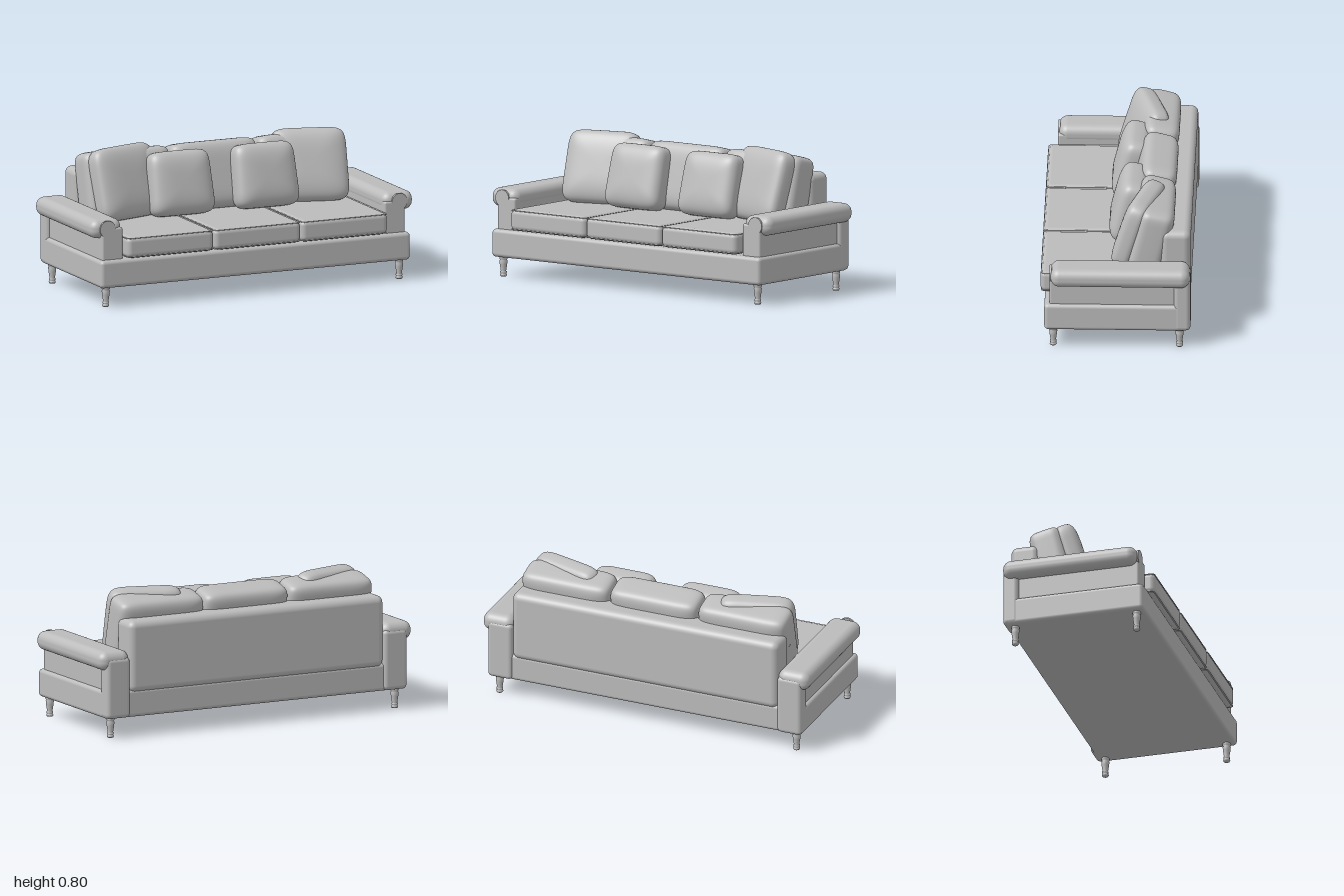
import * as THREE from 'three';
import { mergeVertices } from 'three/addons/utils/BufferGeometryUtils.js';
import { RoundedBoxGeometry } from 'three/addons/geometries/RoundedBoxGeometry.js';

const fabric = new THREE.MeshStandardMaterial({ color: 0xbcbcbc });
fabric.name = 'grey fabric';

function add(group, name, geometry, x = 0, y = 0, z = 0) {
  const mesh = new THREE.Mesh(geometry, fabric);
  mesh.name = name;
  mesh.position.set(x, y, z);
  group.add(mesh);
  return mesh;
}

// Rounded box given by its limits on each axis
function block(group, name, [x0, x1], [y0, y1], [z0, z1], radius) {
  const g = new RoundedBoxGeometry(x1 - x0, y1 - y0, z1 - z0, 5, radius);
  return add(group, name, g, (x0 + x1) / 2, (y0 + y1) / 2, (z0 + z1) / 2);
}

// Soft pillow: a sphere squared off in outline (eo) and in profile (ep)
function pillowGeometry(a, b, c, eo, ep, taper) {
  const pow = (v, e) => Math.sign(v) * Math.abs(v) ** e;
  let g = new THREE.SphereGeometry(1, 64, 32);
  g.rotateX(Math.PI / 2);
  g.deleteAttribute('uv');
  g.deleteAttribute('normal');
  const p = g.attributes.position;
  for (let i = 0; i < p.count; i++) {
    const r = Math.hypot(p.getX(i), p.getY(i));
    const angle = Math.atan2(p.getY(i), p.getX(i));
    const rim = r < 1e-6 ? 0 : r ** ep;
    const u = rim * pow(Math.cos(angle), eo);
    const v = rim * pow(Math.sin(angle), eo);
    p.setXYZ(i, a * u * (1 - taper * v), b * v, c * pow(p.getZ(i), ep));
  }
  g = mergeVertices(g, 1e-5);
  g.computeVertexNormals();
  return g;
}

// Thin rounded plate used as the piping of a seat cushion
function pipingGeometry(w, d) {
  const r = 0.025, x = w / 2, y = d / 2;
  const s = new THREE.Shape();
  s.moveTo(-x + r, -y);
  s.lineTo(x - r, -y).quadraticCurveTo(x, -y, x, -y + r);
  s.lineTo(x, y - r).quadraticCurveTo(x, y, x - r, y);
  s.lineTo(-x + r, y).quadraticCurveTo(-x, y, -x, y - r);
  s.lineTo(-x, -y + r).quadraticCurveTo(-x, -y, -x + r, -y);
  return new THREE.ExtrudeGeometry(s, { depth: 0.005, bevelEnabled: false }).rotateX(-Math.PI / 2);
}

export function createModel() {
  const sofa = new THREE.Group();
  sofa.name = 'sofa';

  // Base and back
  block(sofa, 'base', [-0.96, 0.96], [0.112, 0.27], [-0.408, 0.4], 0.022);
  block(sofa, 'backrest', [-0.815, 0.815], [0.25, 0.66], [-0.42, -0.25], 0.04);

  // Turned legs
  const legProfile = [
    [0, 0], [0.016, 0], [0.02, 0.006], [0.018, 0.014], [0.015, 0.017], [0.019, 0.021],
    [0.019, 0.027], [0.015, 0.03], [0.021, 0.068], [0.023, 0.09], [0.018, 0.095],
    [0.023, 0.1], [0.023, 0.108], [0.02, 0.116], [0, 0.116],
  ].map(([x, y]) => new THREE.Vector2(x, y));
  const leg = new THREE.LatheGeometry(legProfile, 24);

  for (const side of [-1, 1]) {
    const label = side > 0 ? 'left' : 'right';
    const span = (a, b) => (side > 0 ? [a, b] : [-b, -a]);
    add(sofa, label + 'FrontLeg', leg, side * 0.91, 0, 0.35);
    add(sofa, label + 'BackLeg', leg, side * 0.91, 0, -0.36);

    // Arm: panel, rear post, rolled top and front button
    block(sofa, label + 'ArmPanel', span(0.812, 0.94), [0.25, 0.45], [-0.41, 0.37], 0.012);
    block(sofa, label + 'ArmRearPost', span(0.812, 0.962), [0.114, 0.46], [-0.422, -0.33], 0.025);
    block(sofa, label + 'ArmRoll', span(0.81, 1.0), [0.39, 0.498], [-0.417, 0.364], 0.048);
    const button = new THREE.CylinderGeometry(0.048, 0.048, 0.012, 40).rotateX(Math.PI / 2);
    add(sofa, label + 'ArmButton', button, side * 0.905, 0.445, 0.364);

    // Loose pillows, the outer ones turned towards the middle
    const outer = add(sofa, label + 'OuterPillow',
      pillowGeometry(0.22, 0.208, 0.078, 0.3, 0.62, 0.03), side * 0.568, 0.595, -0.12);
    outer.rotation.set(-0.3, -side * 0.28, 0, 'YXZ');
    const inner = add(sofa, label + 'InnerPillow',
      pillowGeometry(0.19, 0.183, 0.09, 0.3, 0.62, 0.03), side * 0.262, 0.575, -0.06);
    inner.rotation.x = -0.25;
  }

  // Seat and back cushions in three places
  const back = pillowGeometry(0.269, 0.192, 0.108, 0.22, 0.42, 0);
  const piping = pipingGeometry(0.534, 0.67);
  for (const i of [-1, 0, 1]) {
    const x = i * 0.54;
    block(sofa, 'seatCushion', [x - 0.268, x + 0.268], [0.275, 0.398], [-0.25, 0.425], 0.03);
    add(sofa, 'topPiping', piping, x, 0.387, 0.087);
    add(sofa, 'bottomPiping', piping, x, 0.282, 0.087);
    add(sofa, 'backCushion', back, x, 0.575, -0.193).rotation.x = -0.24;
  }
  return sofa;
}
